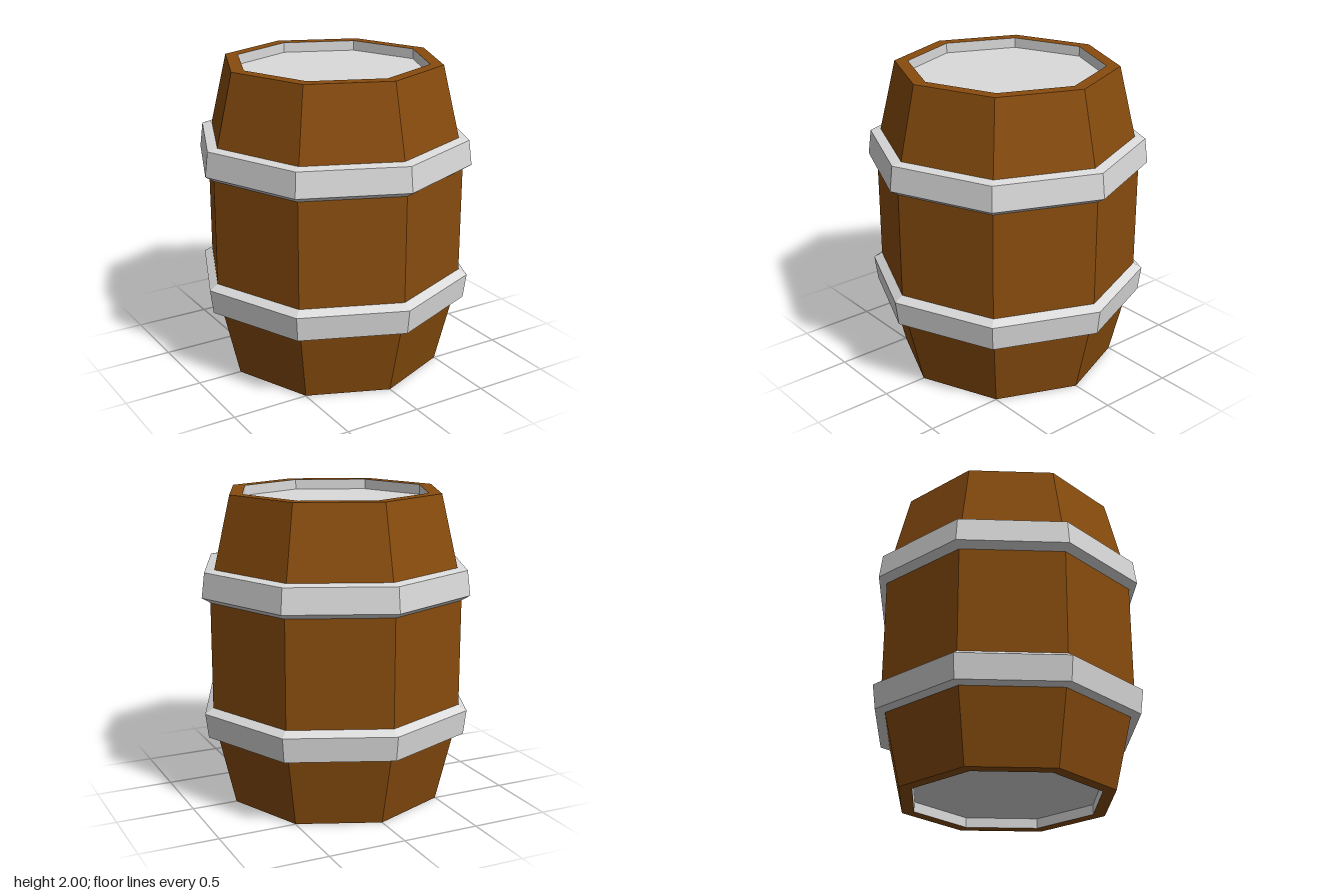
import * as THREE from 'three';

const SIDES = 8;

// Faceted solid of revolution from [radius, y] points, listed bottom to top on outer faces
function facetedLathe(name, profile, material) {
  const points = profile.map(([r, y]) => new THREE.Vector2(r, y));
  const geometry = new THREE.LatheGeometry(points, SIDES).toNonIndexed();
  geometry.computeVertexNormals();
  const mesh = new THREE.Mesh(geometry, material);
  mesh.name = name;
  return mesh;
}

// Same profile turned upside down about mid-height, keeping the outward order
const flip = (profile) => profile.map(([r, y]) => [r, 2 - y]).reverse();

export function createModel() {
  const wood = new THREE.MeshStandardMaterial({ color: 0x884c0e });
  wood.name = 'wood';
  const metal = new THREE.MeshStandardMaterial({ color: 0xdadada });
  metal.name = 'metal';

  const barrel = new THREE.Group();
  barrel.name = 'barrel';

  // Staves: flat end rims, tapered ends and a straight middle
  const lowerStaves = [[0.62, 0], [0.705, 0], [0.845, 0.585]];
  barrel.add(facetedLathe('staves', [...lowerStaves, ...flip(lowerStaves)], wood));

  // Hoops: bevelled bands hugging the staves
  const lowerHoop = [[0.813, 0.455], [0.88, 0.467], [0.9, 0.625], [0.844, 0.66]];
  barrel.add(facetedLathe('lowerHoop', lowerHoop, metal));
  barrel.add(facetedLathe('upperHoop', flip(lowerHoop), metal));

  // Recessed heads with their short inner walls
  const bottomHead = [[0, 0.065], [0.62, 0.065], [0.62, 0]];
  barrel.add(facetedLathe('bottomHead', bottomHead, metal));
  barrel.add(facetedLathe('topHead', flip(bottomHead), metal));

  return barrel;
}
